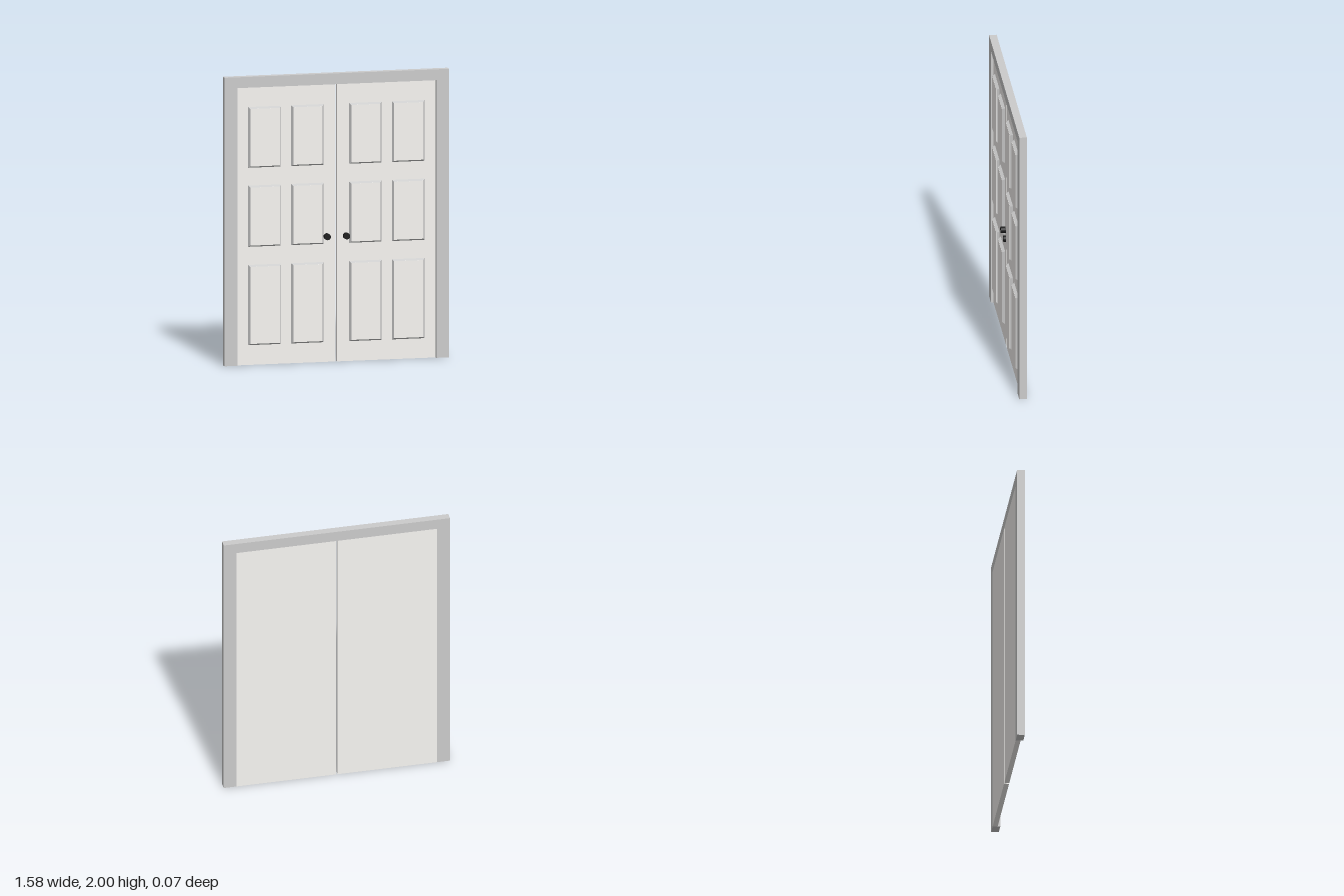
import * as THREE from 'three';

const BACK = -0.034, DOOR_FRONT = 0, FRAME_FRONT = 0.018, PANEL_FRONT = 0.0195;
const GREY = new THREE.MeshStandardMaterial({ color: 0xcccccc });
const PAINT = new THREE.MeshStandardMaterial({ color: 0xf7f5f2 });
const BLACK = new THREE.MeshStandardMaterial({ color: 0x1c1c1c });

function add(parent, name, geometry, material, x = 0, y = 0, z = 0) {
  const mesh = new THREE.Mesh(geometry, material);
  mesh.name = name;
  mesh.position.set(x, y, z);
  parent.add(mesh);
  return mesh;
}

// Box whose front face is smaller than its back by the bevel on every side
function bevelledBox(w, h, d, bevel) {
  const geo = new THREE.BoxGeometry(w, h, d).toNonIndexed();
  const p = geo.attributes.position;
  for (let i = 0; i < p.count; i++) {
    if (p.getZ(i) > 0) {
      p.setX(i, p.getX(i) - Math.sign(p.getX(i)) * bevel);
      p.setY(i, p.getY(i) - Math.sign(p.getY(i)) * bevel);
    }
  }
  geo.computeVertexNormals();
  return geo;
}

function createDoor(side) {
  const door = new THREE.Group();
  door.name = side > 0 ? 'leftDoor' : 'rightDoor';

  // Plain slab, flush with the back of the frame
  const inner = 0.006, outer = 0.701, height = 1.925;
  add(door, 'slab', new THREE.BoxGeometry(outer - inner, height, DOOR_FRONT - BACK), PAINT,
    side * (inner + outer) / 2, height / 2, (BACK + DOOR_FRONT) / 2);

  // Raised panels: sloping grey border around a painted face
  const columns = [[0.101, 0.307], [0.403, 0.61]];
  const rows = [[0.148, 0.682], [0.83, 1.232], [1.378, 1.777]];
  const bevel = 0.011;
  for (const [x0, x1] of columns) {
    for (const [y0, y1] of rows) {
      const w = x1 - x0, h = y1 - y0, d = PANEL_FRONT - DOOR_FRONT;
      const x = side * (x0 + x1) / 2, y = (y0 + y1) / 2;
      add(door, 'panelBorder', bevelledBox(w + 2 * bevel, h + 2 * bevel, d, bevel), GREY,
        x, y, DOOR_FRONT + d / 2);
      add(door, 'panelFace', new THREE.BoxGeometry(w, h, 0.001), PAINT, x, y, PANEL_FRONT + 0.0005);
    }
  }

  // Round knob
  const knob = add(door, 'knob', new THREE.CylinderGeometry(0.022, 0.022, 0.034, 32), BLACK,
    side * 0.068, 0.87, 0.017);
  knob.rotation.x = Math.PI / 2;
  return door;
}

export function createModel() {
  const model = new THREE.Group();
  model.name = 'doubleDoor';

  // Frame: two jambs and a head in one piece, open at the bottom
  const outline = new THREE.Shape([
    [-0.792, 0], [-0.701, 0], [-0.701, 1.925], [0.701, 1.925],
    [0.701, 0], [0.792, 0], [0.792, 2], [-0.792, 2],
  ].map(([x, y]) => new THREE.Vector2(x, y)));
  add(model, 'frame', new THREE.ExtrudeGeometry(outline, { depth: FRAME_FRONT - BACK, bevelEnabled: false }),
    GREY, 0, 0, BACK);

  for (const side of [-1, 1]) model.add(createDoor(side));
  return model;
}
